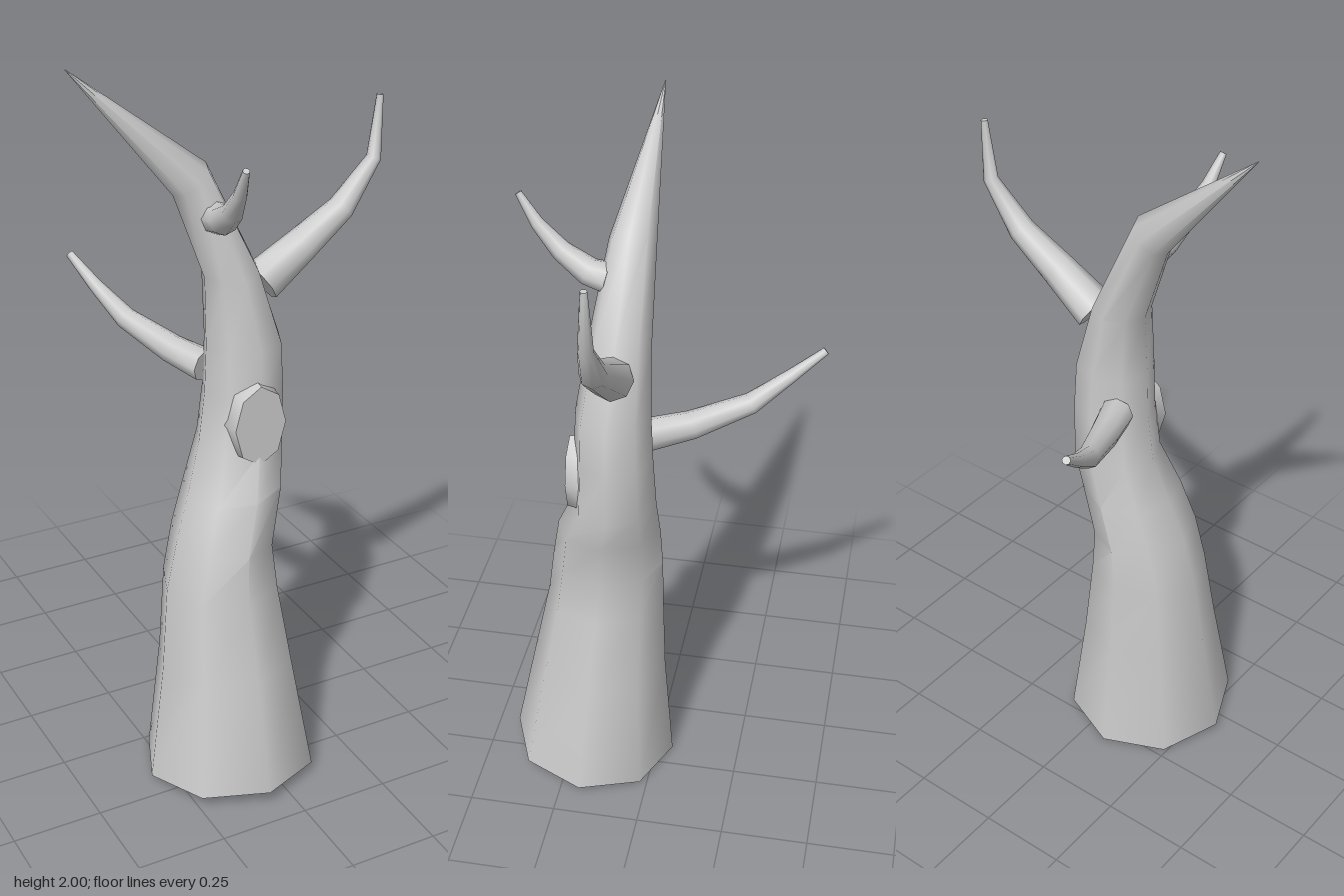
import * as THREE from 'three';
import { toCreasedNormals } from 'three/addons/utils/BufferGeometryUtils.js';

const SIDES = 8;
const material = new THREE.MeshStandardMaterial({ color: 0xcccccc });
const V = (x, y, z) => new THREE.Vector3(x, y, z);

// Skin a list of rings (counter-clockwise seen from the far end) and cap both ends
function loft(rings, crease) {
  const pos = [], index = [], n = SIDES;
  const add = p => pos.push(p.x, p.y, p.z) / 3 - 1;
  rings.forEach(ring => ring.forEach(add));
  for (let r = 0; r < rings.length - 1; r++) {
    for (let i = 0; i < n; i++) {
      const a = r * n + i, b = r * n + (i + 1) % n;
      index.push(a, b, b + n, a, b + n, a + n);
    }
  }
  [rings[0], rings[rings.length - 1]].forEach((ring, end) => {
    const first = ring.map(add)[0];
    for (let i = 1; i < n - 1; i++) {
      if (end) index.push(first, first + i, first + i + 1);
      else index.push(first, first + i + 1, first + i);
    }
  });
  const geo = new THREE.BufferGeometry();
  geo.setAttribute('position', new THREE.Float32BufferAttribute(pos, 3));
  geo.setIndex(index);
  geo.computeVertexNormals();
  return crease ? toCreasedNormals(geo, crease) : geo;
}

// Tapering limb through bent points, each given as [x, y, z, radius]
function limb(points) {
  const centers = points.map(p => V(p[0], p[1], p[2]));
  const last = centers.length - 1;
  const rings = centers.map((c, k) => {
    const dir = centers[Math.min(k + 1, last)].clone().sub(centers[Math.max(k - 1, 0)]).normalize();
    const overall = centers[last].clone().sub(centers[0]);
    const side = V(overall.z, 0, -overall.x).normalize();
    const up = dir.clone().cross(side).normalize();
    return Array.from({ length: SIDES }, (_, i) => {
      const a = (i / SIDES) * Math.PI * 2;
      return c.clone()
        .addScaledVector(side, Math.cos(a) * points[k][3])
        .addScaledVector(up, Math.sin(a) * points[k][3]);
    });
  });
  return loft(rings);
}

// Trunk sections: [left x, right x, back z, front z, y, rise per x, rise per z]
const sections = [
  [-0.315, 0.172, -0.05, 0.432, 0.02, 0, 0.08],
  [-0.265, 0.115, -0.025, 0.365, 0.35, 0, 0.04],
  [-0.24, 0.08, -0.018, 0.318, 0.58, 0, 0],
  [-0.205, 0.063, -0.018, 0.3, 0.71, -0.05, 0],
  [-0.165, 0.1, -0.018, 0.272, 0.85, 0.1, 0],
  [-0.118, 0.122, -0.012, 0.22, 0.97, -0.1, 0],
  [-0.1, 0.125, -0.005, 0.21, 1.12, 0, 0],
  [-0.095, 0.118, 0.0, 0.205, 1.25, 0, 0],
  [-0.092, 0.055, 0.005, 0.175, 1.44, 0.1, 0],
  [-0.17, -0.078, 0.01, 0.135, 1.695, 0.8, 0],
  [-0.433, -0.431, 0.044, 0.046, 1.999, 0.5, 0],
];

function trunkGeometry() {
  const rings = sections.map(([x0, x1, z0, z1, y, sx, sz]) =>
    Array.from({ length: SIDES }, (_, i) => {
      const a = (i / SIDES) * Math.PI * 2;
      const dx = Math.sin(a) * (x1 - x0) / 2, dz = Math.cos(a) * (z1 - z0) / 2;
      return V((x0 + x1) / 2 + dx, y + dx * sx + dz * sz, (z0 + z1) / 2 + dz);
    }));
  return loft(rings, 0.9);
}

export function createModel() {
  const group = new THREE.Group();
  const add = (name, geometry) => {
    const mesh = new THREE.Mesh(geometry, material);
    mesh.name = name;
    group.add(mesh);
    return mesh;
  };

  // Bent trunk ending in a broken spike
  add('trunk', trunkGeometry());

  // Scar of a lost branch on the front
  const knot = new THREE.CylinderGeometry(0.078, 0.085, 0.05, SIDES);
  knot.rotateX(Math.PI / 2);
  knot.scale(0.95, 1.45, 1);
  add('knot', toCreasedNormals(knot, 0.9)).position.set(0.002, 1.05, 0.199);

  // Three bare branches
  add('leftBranch', limb([
    [0.07, 1.395, 0.092, 0.058], [0.19, 1.475, 0.09, 0.047], [0.31, 1.555, 0.085, 0.036],
    [0.408, 1.675, 0.08, 0.02], [0.421, 1.84, 0.078, 0.009],
  ]));
  add('frontBranch', limb([
    [-0.08, 1.605, 0.125, 0.043], [-0.085, 1.615, 0.18, 0.038], [-0.1, 1.66, 0.255, 0.028],
    [-0.115, 1.725, 0.32, 0.018], [-0.125, 1.8, 0.368, 0.009],
  ]));
  add('backBranch', limb([
    [-0.055, 1.155, 0.02, 0.046], [-0.1, 1.17, -0.09, 0.04], [-0.165, 1.215, -0.24, 0.03],
    [-0.21, 1.285, -0.34, 0.019], [-0.245, 1.352, -0.427, 0.011],
  ]));

  return group;
}
